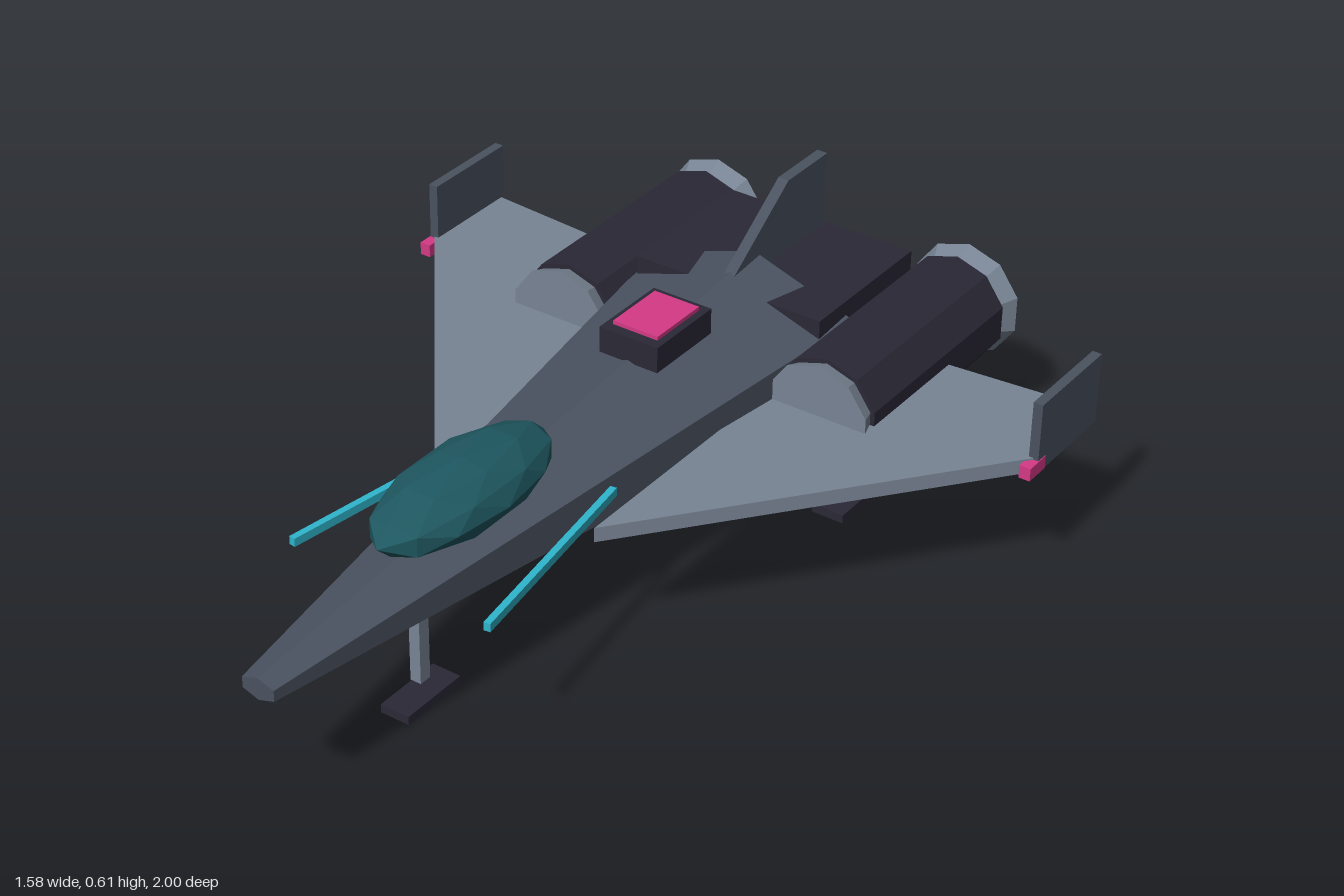
import * as THREE from 'three';

const mat = (name, color) => Object.assign(new THREE.MeshStandardMaterial({ color }), { name });

export function createModel() {
  const model = new THREE.Group();
  model.name = 'starfighter';

  const hull = mat('slate hull', 0x4a5260);
  const panel = mat('light grey panel', 0x788494);
  const dark = mat('dark plating', 0x2b2836);
  const glass = mat('teal canopy glass', 0x1f5861);
  const glow = mat('cyan glow', 0x2fb6cd);
  const accent = mat('pink accent', 0xd63a86);

  // Adds a faceted mesh
  const add = (name, geometry, material, x = 0, y = 0, z = 0, parent = model) => {
    const g = geometry.index ? geometry.toNonIndexed() : geometry;
    g.computeVertexNormals();
    const mesh = new THREE.Mesh(g, material);
    mesh.name = name;
    mesh.position.set(x, y, z);
    parent.add(mesh);
    return mesh;
  };
  const box = (w, h, d) => new THREE.BoxGeometry(w, h, d);
  // Cylinder lying along z, placed between zBack and zFront
  const barrel = (rFront, rBack, zFront, zBack, sides) =>
    new THREE.CylinderGeometry(rFront, rBack, zFront - zBack, sides)
      .rotateX(Math.PI / 2)
      .translate(0, 0, (zFront + zBack) / 2);
  const extrude = (points, depth) =>
    new THREE.ExtrudeGeometry(
      new THREE.Shape(points.map(([x, y]) => new THREE.Vector2(x, y))),
      { depth, bevelEnabled: false });

  // Body: tapered hexagonal fuselage and the engine block behind it
  add('fuselage', barrel(0.025, 0.167, 1, -0.645, 6).scale(1.77, 1, 1), hull, 0, 0.312, 0);
  add('engineBlock', box(0.47, 0.247, 0.37), dark, 0, 0.3135, -0.725);

  // Canopy
  add('canopy', new THREE.IcosahedronGeometry(1, 1).scale(0.116, 0.071, 0.265), glass, 0, 0.425, 0.383);

  // Dorsal hatch with coloured panel
  add('hatch', box(0.146, 0.06, 0.196), dark, 0, 0.463, -0.273);
  add('hatchPanel', box(0.112, 0.009, 0.15), accent, 0, 0.4975, -0.275);

  // Tail fin, outlined as [-z, y]
  const tail = [[0.545, 0.43], [0.545, 0.465], [0.75, 0.61], [0.905, 0.61], [0.895, 0.43]];
  add('tailFin', extrude(tail, 0.026).rotateY(Math.PI / 2), hull, -0.013, 0, 0);

  // Nose landing gear
  add('noseStrut', box(0.026, 0.165, 0.03), panel, 0, 0.132, 0.53);
  add('noseFoot', box(0.07, 0.02, 0.166), dark, 0, 0.01, 0.53);

  // Mirrored parts
  for (const [side, s] of [['left', 1], ['right', -1]]) {
    const half = new THREE.Group();
    half.name = `${side}Side`;
    model.add(half);
    const put = (name, g, m, x, y, z) => add(`${side}${name}`, g, m, s * x, y, z, half);

    // Wing, outlined as [x, -z]
    const wing = [[0.2, -0.22], [0.775, 0.51], [0.775, 0.747], [0.2, 0.7]];
    put('Wing', extrude(wing.map(([x, y]) => [s * x, y]), 0.034).rotateX(-Math.PI / 2), panel, 0, 0.285, 0);
    put('WingtipFin', box(0.022, 0.165, 0.245), hull, 0.775, 0.367, -0.633);
    put('WingtipLight', box(0.026, 0.03, 0.062), accent, 0.775, 0.3, -0.507);

    // Engine: intake, nacelle, flared nozzle and glowing exhaust
    put('Intake', barrel(0.126, 0.112, -0.385, -0.43, 10), panel, 0.33, 0.313, 0);
    put('Nacelle', barrel(0.126, 0.126, -0.42, -0.945, 10), dark, 0.33, 0.313, 0);
    put('Nozzle', barrel(0.1, 0.134, -0.94, -0.995, 10), panel, 0.33, 0.313, 0);
    put('Exhaust', barrel(0.104, 0.104, -0.992, -1, 10), glow, 0.33, 0.313, 0);

    // Cannon, splayed outward toward the front
    put('Cannon', box(0.015, 0.019, 0.52), glow, 0.202, 0.331, 0.362).rotation.y = s * 0.145;

    // Rear landing gear
    put('RearStrut', box(0.034, 0.145, 0.034), panel, 0.31, 0.0925, -0.57);
    put('RearFoot', box(0.078, 0.02, 0.172), dark, 0.31, 0.01, -0.57);
  }

  return model;
}
